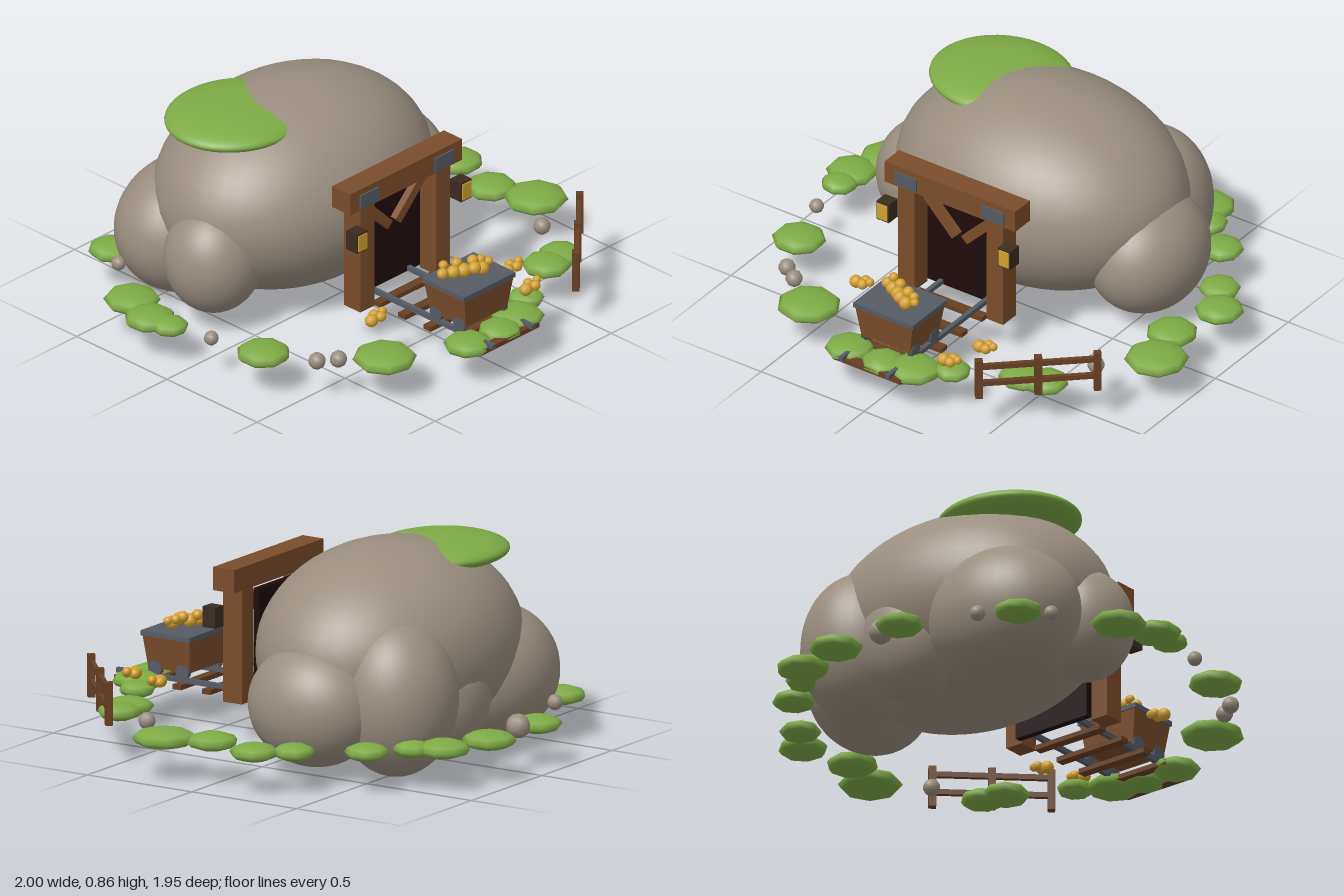
import * as THREE from 'three';

const mat = (name, color) => {
  const m = new THREE.MeshStandardMaterial({ color });
  m.name = name;
  return m;
};

export function createModel() {
  const model = new THREE.Group();
  model.name = 'mineEntrance';

  const rock = mat('rock', 0x9a8e80);
  const leaf = mat('leaf green', 0x7eab46);
  const wood = mat('timber', 0x7b4d2a);
  const darkWood = mat('dark timber', 0x684023);
  const iron = mat('iron', 0x565b64);
  const dark = mat('tunnel dark', 0x1e0b0c);
  const gold = mat('gold', 0xd2a02e);
  const frame = mat('lantern frame', 0x3a2c20);

  const add = (parent, name, geo, m, x, y, z) => {
    const mesh = new THREE.Mesh(geo, m);
    mesh.name = name;
    mesh.position.set(x, y, z);
    parent.add(mesh);
    return mesh;
  };
  const group = (name, x = 0, y = 0, z = 0) => {
    const g = new THREE.Group();
    g.name = name;
    g.position.set(x, y, z);
    model.add(g);
    return g;
  };
  const box = (parent, name, m, w, h, d, x, y, z) =>
    add(parent, name, new THREE.BoxGeometry(w, h, d), m, x, y, z);

  // Rock mound: one large boulder with smaller ones around its back and sides
  const smooth = new THREE.SphereGeometry(1, 40, 28);
  const mound = group('rockMound');
  [
    [-0.02, 0.45, -0.26, 0.63, 0.42, 0.485],
    [0.5, 0.3, -0.25, 0.23, 0.25, 0.28],
    [0.32, 0.33, -0.52, 0.25, 0.32, 0.25],
    [0.05, 0.29, -0.54, 0.23, 0.26, 0.2],
    [-0.37, 0.29, -0.49, 0.33, 0.28, 0.27],
    [-0.54, 0.31, -0.19, 0.2, 0.23, 0.2],
  ].forEach(([x, y, z, a, b, c]) =>
    add(mound, 'boulder', smooth, rock, x, y, z).scale.set(a, b, c));
  add(mound, 'mossCap', smooth, leaf, -0.27, 0.79, -0.33).scale.set(0.3, 0.062, 0.27);

  // Flat bushes ringing the site
  const bushes = group('bushes');
  const bushGeo = new THREE.SphereGeometry(1, 8, 6);
  [
    [-0.15, -0.88, 0.1], [0.18, -0.87, 0.11], [0.4, -0.8, 0.11], [0.47, -0.7, 0.08],
    [0.62, -0.58, 0.09], [-0.6, -0.69, 0.1], [-0.84, -0.35, 0.115], [-0.9, -0.19, 0.105],
    [-0.89, -0.09, 0.075], [0.78, -0.34, 0.085], [0.87, -0.21, 0.1], [0.81, 0.03, 0.105],
    [0.87, 0.22, 0.13], [-0.79, 0.33, 0.11], [-0.48, 0.7, 0.13], [0.51, 0.63, 0.1],
    [0.61, 0.61, 0.09], [0.26, 0.76, 0.075], [-0.17, 0.86, 0.1], [0, 0.87, 0.09],
    [0.13, 0.84, 0.11],
  ].forEach(([x, z, r], i) => {
    const b = add(bushes, 'bush', bushGeo, leaf, x, 0.175, z);
    b.scale.set(r, 0.025 + r * 0.11, r);
    b.rotation.y = i * 1.3;
  });

  // Loose stones
  const stones = group('stones');
  const stoneGeo = new THREE.SphereGeometry(1, 10, 7);
  [
    [-0.04, -0.86, 0.05], [-0.45, -0.76, 0.032], [-0.68, -0.58, 0.03], [-0.86, 0.11, 0.03],
    [-0.7, 0.54, 0.035], [-0.63, 0.59, 0.035], [0.71, 0.41, 0.035],
  ].forEach(([x, z, r]) => add(stones, 'stone', stoneGeo, rock, x, 0.185, z).scale.setScalar(r));

  // Timber portal with tunnel mouth, braces, iron plates and lanterns
  const portal = group('portal', -0.025);
  box(portal, 'lintel', wood, 0.635, 0.095, 0.1, 0, 0.685, 0.325);
  box(portal, 'tunnelMouth', dark, 0.36, 0.455, 0.03, 0, 0.405, 0.26);
  for (const s of [-1, 1]) {
    box(portal, 'post', wood, 0.08, 0.47, 0.09, s * 0.215, 0.405, 0.325);
    box(portal, 'brace', wood, 0.04, 0.22, 0.03, s * 0.1, 0.53, 0.295).rotation.z = -s * 0.78;
    box(portal, 'ironPlate', iron, 0.105, 0.06, 0.008, s * 0.212, 0.677, 0.378);
    box(portal, 'lanternFrame', frame, 0.06, 0.085, 0.06, s * 0.295, 0.525, 0.39);
    box(portal, 'lanternGlow', gold, 0.048, 0.07, 0.006, s * 0.295, 0.525, 0.422);
  }

  // Track
  const track = group('track', -0.023);
  for (let i = 0; i < 5; i++)
    box(track, 'tie', darkWood, 0.33, 0.02, 0.04, 0, 0.172, 0.37 + i * 0.14);
  for (const s of [-1, 1])
    box(track, 'rail', iron, 0.018, 0.02, 0.7, s * 0.113, 0.19, 0.62);

  // Ore cart: tapered tub with iron rim and wheels
  const cart = group('oreCart', -0.023, 0, 0.72);
  const tub = new THREE.BoxGeometry(0.28, 0.14, 0.225);
  const p = tub.attributes.position;
  for (let i = 0; i < p.count; i++)
    if (p.getY(i) < 0) p.setXYZ(i, p.getX(i) * 0.84, p.getY(i), p.getZ(i) * 0.88);
  tub.computeVertexNormals();
  add(cart, 'tub', tub, wood, 0, 0.292, 0);
  box(cart, 'rim', iron, 0.292, 0.02, 0.235, 0, 0.365, 0);
  const wheelGeo = new THREE.CylinderGeometry(0.032, 0.032, 0.02, 12).rotateZ(Math.PI / 2);
  for (const s of [-1, 1])
    for (const z of [-0.065, 0.065]) add(cart, 'wheel', wheelGeo, iron, s * 0.113, 0.222, z);

  // Gold nuggets in the cart and on the ground
  const nuggets = group('goldNuggets');
  const nuggetGeo = new THREE.IcosahedronGeometry(1, 1);
  const nugget = (x, y, z, r) => add(nuggets, 'nugget', nuggetGeo, gold, x, y, z).scale.setScalar(r);
  [
    [-0.12, 0.4, 0.67, 0.024], [-0.1, 0.425, 0.655, 0.02], [-0.08, 0.4, 0.69, 0.028],
    [-0.05, 0.425, 0.68, 0.023], [-0.04, 0.4, 0.71, 0.03], [-0.01, 0.41, 0.74, 0.027],
    [0.01, 0.425, 0.71, 0.024], [0.025, 0.4, 0.75, 0.028], [0.045, 0.42, 0.72, 0.02],
    [0.065, 0.415, 0.745, 0.018],
  ].forEach((n) => nugget(...n));
  for (const [x, z] of [[-0.35, 0.52], [0.32, 0.62], [0.26, 0.78]]) {
    nugget(x - 0.025, 0.232, z + 0.005, 0.027);
    nugget(x + 0.008, 0.238, z - 0.015, 0.022);
    nugget(x + 0.015, 0.24, z + 0.018, 0.022);
    nugget(x + 0.04, 0.25, z + 0.002, 0.018);
  }

  // Fence, set diagonally
  const fence = group('fence', 0.627, 0, 0.69);
  fence.rotation.y = Math.atan2(0.32, 0.35);
  for (const x of [-0.237, 0, 0.237]) box(fence, 'fencePost', darkWood, 0.03, 0.175, 0.03, x, 0.257, 0);
  for (const y of [0.235, 0.312]) box(fence, 'fenceRail', darkWood, 0.49, 0.022, 0.018, 0, y, 0);

  return model;
}
